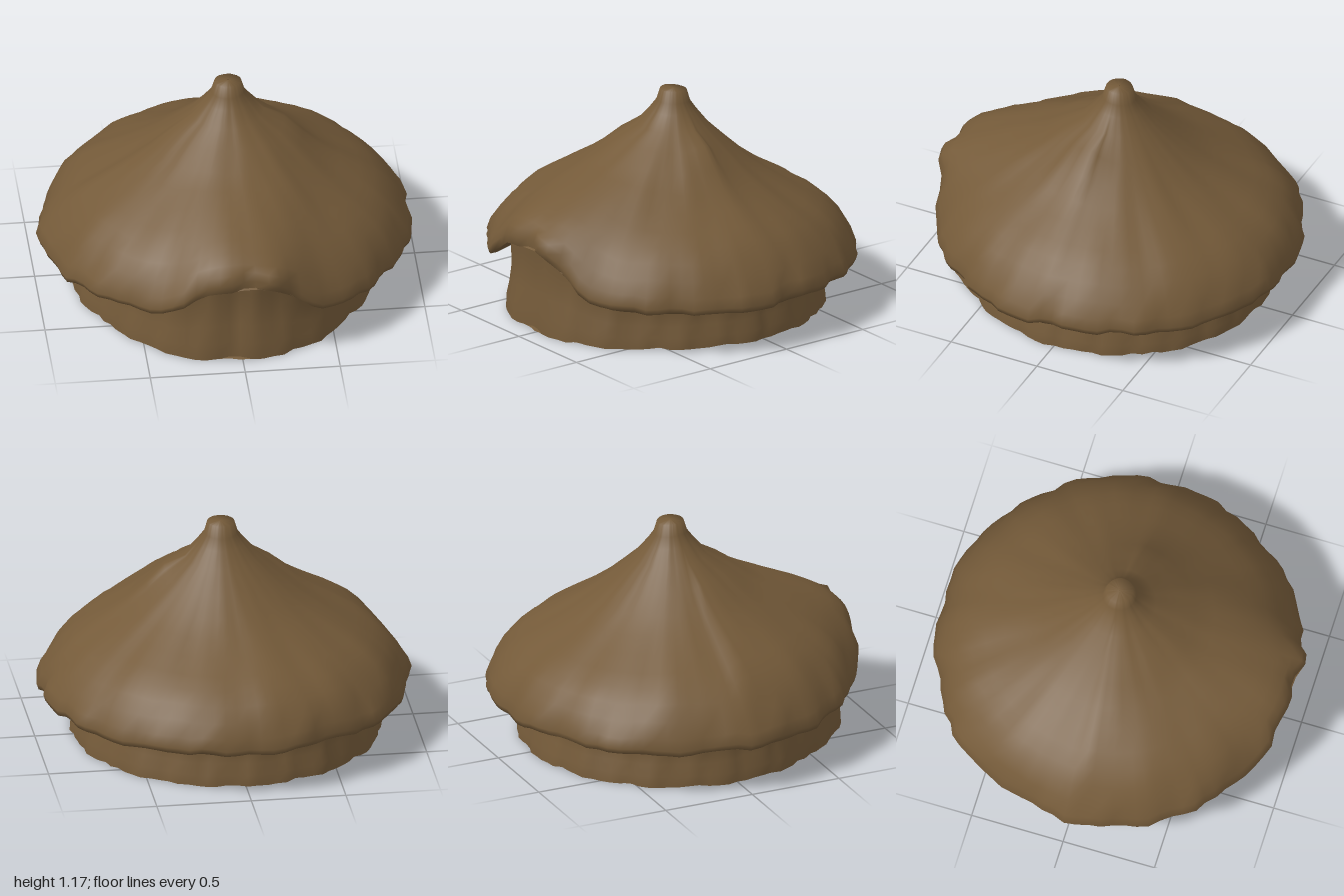
import * as THREE from 'three';

const SEGMENTS = 96;

// Smooth repeatable unevenness around and down the surfaces
const wobble = (a, y) =>
  0.45 * Math.sin(7 * a + 5 * y) + 0.3 * Math.sin(13 * a - 9 * y + 1) + 0.25 * Math.sin(23 * a + 14 * y + 2);

// Small seeded noise for the ragged thatch edge
const ragged = (i) => {
  const s = Math.sin(i * 12.9898) * 43758.5453;
  return (s - Math.floor(s)) * 2 - 1;
};

// Raised thatch over the entrance, strongest at the front centre
const arch = (a, r) => (Math.cos(a) > 0 ? Math.exp(-Math.pow(Math.abs(r * Math.sin(a)) / 0.35, 3)) : 0);

// Gentler rise of the eave to the right of the entrance
const sideRise = (a, r) => (Math.cos(a) > 0 ? 0.05 * Math.exp(-Math.pow((r * Math.sin(a) + 0.58) / 0.25, 2)) : 0);

// Closed surface of rings running downwards; point(row, angle, index) gives [x, y, z]
function ringSurface(name, rows, point, material) {
  const positions = [];
  const index = [];
  for (let j = 0; j < rows; j++) {
    for (let i = 0; i < SEGMENTS; i++) {
      positions.push(...point(j, (i / SEGMENTS) * Math.PI * 2, i));
      if (j === rows - 1) continue;
      const a = j * SEGMENTS + i;
      const b = j * SEGMENTS + ((i + 1) % SEGMENTS);
      index.push(a, a + SEGMENTS, b, b, a + SEGMENTS, b + SEGMENTS);
    }
  }
  const geometry = new THREE.BufferGeometry();
  geometry.setAttribute('position', new THREE.Float32BufferAttribute(positions, 3));
  geometry.setIndex(index);
  geometry.computeVertexNormals();
  const mesh = new THREE.Mesh(geometry, material);
  mesh.name = name;
  return mesh;
}

export function createModel() {
  const group = new THREE.Group();
  group.name = 'thatchedHut';
  const thatch = new THREE.MeshStandardMaterial({ color: 0x745a39, side: THREE.DoubleSide });
  thatch.name = 'brown thatch';

  // Roof rows: radius, height, and lift over the entrance
  const roof = [
    [0.002, 1.172, 0], [0.07, 1.17, 0], [0.088, 1.11, 0], [0.125, 1.06, 0], [0.19, 0.985, 0], [0.3, 0.89, 0.03],
    [0.4, 0.805, 0.045], [0.5, 0.735, 0.065], [0.6, 0.67, 0.09], [0.7, 0.605, 0.11],
    [0.78, 0.55, 0.13], [0.85, 0.485, 0.16], [0.91, 0.41, 0.2], [0.95, 0.335, 0.24],
    [0.97, 0.28, 0.25], [0.96, 0.25, 0.23], [0.93, 0.24, 0.24], [0.87, 0.255, 0.25], [0.79, 0.28, 0.23],
  ];
  const edgeRow = 14;
  group.add(ringSurface('roof', roof.length, (j, a, i) => {
    let [r, y, lift] = roof[j];
    const outer = Math.min(1, r / 0.95);
    const back = Math.max(0, -Math.cos(a));
    const under = j > edgeRow + 1;
    y += lift * arch(a, r) + 0.01 * outer * wobble(a, y);
    y += sideRise(a, r) * outer * outer;
    y -= 0.035 * back * Math.sin(Math.PI * outer);
    // Small ledge high on one side
    y += 0.045 * Math.exp(-Math.pow((r * Math.sin(a) - 0.34) / 0.06, 2) - Math.pow((r * Math.cos(a) - 0.02) / 0.12, 2));
    r += 0.009 * outer * wobble(a * 2, 1);
    if (j >= edgeRow - 1 && !under) {
      r += 0.017 * ragged(Math.floor(i / 2));
      y += 0.012 * ragged(Math.floor(i / 2) + 40);
    }
    if (under) r += 0.07 * arch(a, r) * (j - edgeRow - 1) / 3;
    return [r * Math.sin(a) + 0.018 * (1 - outer), y, r * Math.cos(a)];
  }, thatch));

  // Earth wall, bulging at the entrance and at its foot
  const wall = [[0.785, 0.31], [0.78, 0.24], [0.775, 0.19], [0.785, 0.12], [0.805, 0.06], [0.81, 0]];
  const wallBulge = (a, r) => (Math.cos(a) > 0 ? 0.08 * Math.exp(-Math.pow((r * Math.sin(a)) / 0.5, 4)) : 0);
  group.add(ringSurface('wall', wall.length, (j, a) => {
    let [r, y] = wall[j];
    const x = r * Math.sin(a);
    const cleft = Math.cos(a) > 0 ? 0.03 * Math.exp(-Math.pow((x + 0.02) / 0.05, 2)) : 0;
    r += wallBulge(a, r) - cleft * (1 - y) + 0.013 * wobble(a * 2, y);
    y += (j === 0 ? 0.22 : 0.2 * y / 0.31) * arch(a, r) + sideRise(a, r) * y / 0.31;
    if (j === wall.length - 1) y += 0.012 * Math.max(0, wobble(a * 2, 3));
    return [r * Math.sin(a) - 0.01, y, r * Math.cos(a)];
  }, thatch));

  // Hollow inside: domed ceiling, inner wall and a narrow rim, open below
  const lining = [
    [0.002, 0.8], [0.16, 0.77], [0.34, 0.68], [0.5, 0.56], [0.62, 0.44],
    [0.7, 0.3], [0.725, 0.15], [0.745, 0.02], [0.805, 0.005],
  ];
  group.add(ringSurface('innerLining', lining.length, (j, a) => {
    let [r, y] = lining[j];
    const low = Math.min(1, r / 0.7);
    r += (wallBulge(a, r) + 0.013 * wobble(a * 2, y)) * low * low;
    return [r * Math.sin(a) - 0.01, y, r * Math.cos(a)];
  }, thatch));

  return group;
}
